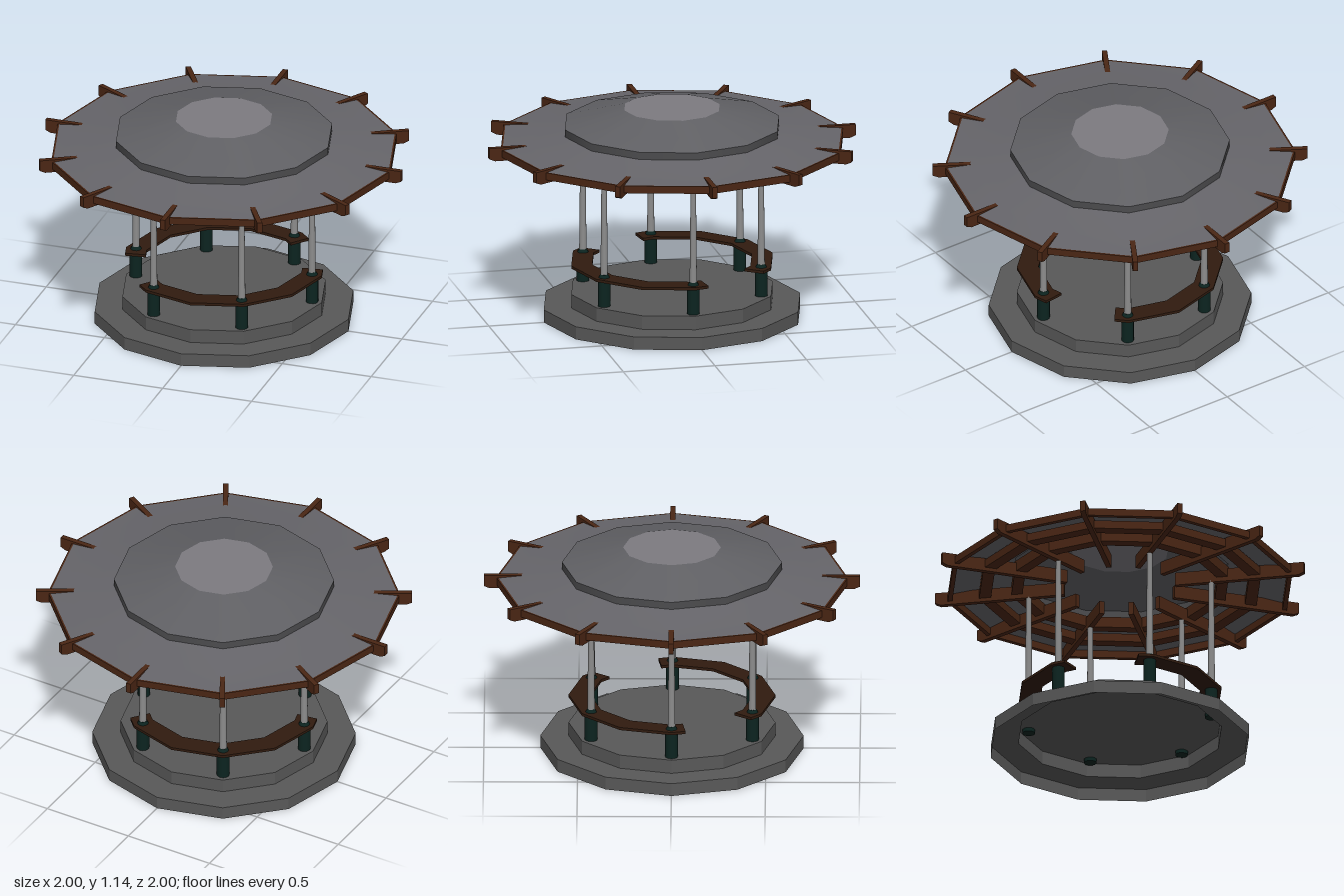
import * as THREE from 'three';

const SIDES = 12, STEP = Math.PI * 2 / SIDES;
const stone = new THREE.MeshStandardMaterial({ color: 0x585858, flatShading: true, side: THREE.DoubleSide });
const roofing = color => new THREE.MeshStandardMaterial({ color, side: THREE.DoubleSide });
const steel = new THREE.MeshStandardMaterial({ color: 0x8c8c8c });
const wood = new THREE.MeshStandardMaterial({ color: 0x4a2614, flatShading: true });
const benchWood = new THREE.MeshStandardMaterial({ color: 0x301b0f, flatShading: true });
const green = new THREE.MeshStandardMaterial({ color: 0x0c2420 });

// Point on a twelve-sided outline with corners on the axes; angle runs from +z towards +x
function outlinePoint(radius, angle) {
  const a = ((angle % STEP) + STEP) % STEP - STEP / 2;
  const r = radius * Math.cos(STEP / 2) / Math.cos(a);
  return new THREE.Vector2(r * Math.sin(angle), -r * Math.cos(angle));
}

function outline(radius) {
  return Array.from({ length: SIDES }, (_, i) => outlinePoint(radius, i * STEP));
}

// Extrude a ground-plan shape upwards from y0 to y1
function slab(shape, y0, y1) {
  const geo = new THREE.ExtrudeGeometry(shape, { depth: y1 - y0, bevelEnabled: false });
  return geo.rotateX(-Math.PI / 2).translate(0, y0, 0);
}

function ring(outer, inner, y0, y1) {
  const shape = new THREE.Shape(outline(outer));
  shape.holes.push(new THREE.Path(outline(inner)));
  return slab(shape, y0, y1);
}

function lathe(...points) {
  return new THREE.LatheGeometry(points.map(([x, y]) => new THREE.Vector2(x, y)), SIDES);
}

export function createModel() {
  const group = new THREE.Group();
  const add = (name, geo, material, parent = group) => {
    const mesh = new THREE.Mesh(geo, material);
    mesh.name = name;
    parent.add(mesh);
    return mesh;
  };

  // Stepped base: a hollow shell, open underneath
  add('lowerStep', lathe([0.7, 0], [0.7, 0.07], [0.55, 0.07]), stone);
  add('floor', lathe([0.55, 0.07], [0.55, 0.145], [0, 0.145]), stone);

  // Six posts: green footing, sloped collar and tapering steel pole
  for (let i = 0; i < 6; i++) {
    const a = Math.PI / 6 + i * Math.PI / 3;
    const post = new THREE.Group();
    post.name = 'post';
    post.position.set(0.495 * Math.sin(a), 0, 0.495 * Math.cos(a));
    add('footing', new THREE.CylinderGeometry(0.034, 0.034, 0.17, 12).translate(0, 0.21, 0), green, post);
    add('collar', new THREE.CylinderGeometry(0.021, 0.034, 0.025, 12).translate(0, 0.3075, 0), green, post);
    add('pole', new THREE.CylinderGeometry(0.014, 0.02, 0.62, 12).translate(0, 0.62, 0), steel, post);
    group.add(post);
  }

  // Two bench rails, each running past three posts
  const angles = [-38, -30, 0, 30, 60, 90, 98].map(THREE.MathUtils.degToRad);
  const benchShape = new THREE.Shape([
    ...angles.map(a => outlinePoint(0.55, a)),
    ...angles.slice().reverse().map(a => outlinePoint(0.435, a)),
  ]);
  for (const turn of [0, Math.PI]) {
    add('bench', slab(benchShape, 0.288, 0.303), benchWood).rotation.y = turn;
  }

  // Thin roof skin with a raised hollow cap
  add('lowerRoof', lathe([0.925, 0.973], [0.79, 0.988], [0.585, 1.02]), roofing(0x66656a));
  add('capWall', lathe([0.585, 1.02], [0.585, 1.06]), roofing(0x4c4c4e));
  add('capSlope', lathe([0.585, 1.06], [0.26, 1.145]), roofing(0x606064));
  add('capTop', lathe([0.26, 1.145], [0, 1.145]), roofing(0x7c7a80));

  // Edge board and two purlin rings
  add('edgeBoard', ring(0.935, 0.91, 0.933, 0.973), wood);
  add('outerPurlin', ring(0.765, 0.7, 0.935, 0.98), wood);
  add('innerPurlin', ring(0.59, 0.53, 0.94, 1.0), wood);

  // Radial rafters with chamfered tips
  const rafterShape = new THREE.Shape([[0.3, 0.915], [0.97, 0.915], [1, 0.928], [1, 0.987], [0.3, 0.987]]
    .map(([x, y]) => new THREE.Vector2(x, y)));
  const rafterGeo = new THREE.ExtrudeGeometry(rafterShape, { depth: 0.028, bevelEnabled: false }).translate(0, 0, -0.014);
  for (let i = 0; i < SIDES; i++) add('rafter', rafterGeo, wood).rotation.y = i * STEP;

  return group;
}
